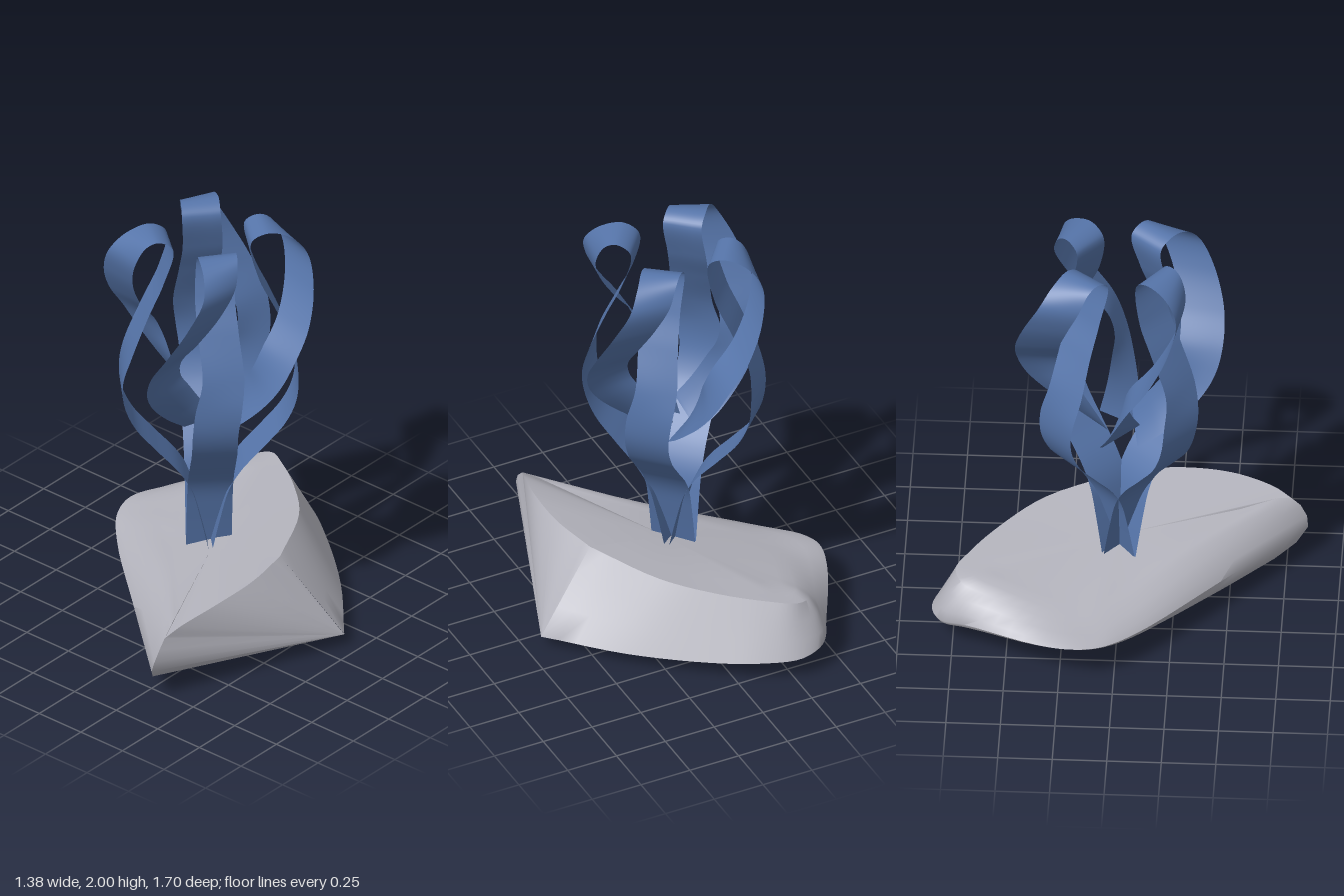
import * as THREE from 'three';
import { toCreasedNormals } from 'three/addons/utils/BufferGeometryUtils.js';

const V = (x, y, z) => new THREE.Vector3(x, y, z);

// Rising half of a ribbon: height, distance from the axis
const STEM = [
  [0.29, 0.0], [0.5, 0.045], [0.65, 0.085], [0.75, 0.14], [0.88, 0.25],
  [1.0, 0.345], [1.12, 0.395],
];
// Curling half: the two edges, x y z each
const CURL = [
  [-0.352, 1.25, 0.22, -0.2, 1.25, 0.37],
  [-0.312, 1.4, 0.228, -0.162, 1.4, 0.352],
  [-0.262, 1.6, 0.16, -0.122, 1.6, 0.285],
  [-0.215, 1.77, 0.1, -0.08, 1.77, 0.225],
  [-0.185, 1.955, 0.085, -0.045, 1.96, 0.2],
  [-0.235, 1.998, 0.14, -0.09, 1.998, 0.245],
  [-0.3, 1.965, 0.225, -0.13, 1.975, 0.285],
  [-0.36, 1.88, 0.275, -0.175, 1.88, 0.31],
  [-0.427, 1.74, 0.24, -0.23, 1.74, 0.268],
  [-0.472, 1.57, 0.15, -0.272, 1.57, 0.168],
  [-0.467, 1.42, 0.05, -0.267, 1.43, 0.062],
  [-0.43, 1.3, -0.005, -0.24, 1.34, 0.035],
  [-0.35, 1.18, -0.045, -0.19, 1.26, 0.045],
  [-0.2, 1.03, -0.08, -0.12, 1.15, 0.065],
  [-0.085, 0.94, -0.075, -0.05, 1.05, 0.095],
];

// Strip surface between two matching edge curves
function ribbonGeometry() {
  const h = 0.074, left = [], right = [];
  for (const [y, r] of STEM) {
    const d = r * Math.SQRT1_2;
    left.push(V(-d - h, y, d - h));
    right.push(V(-d + h, y, d + h));
  }
  for (const c of CURL) {
    left.push(V(c[0], c[1], c[2]));
    right.push(V(c[3], c[4], c[5]));
  }
  const a = new THREE.CatmullRomCurve3(left), b = new THREE.CatmullRomCurve3(right);
  const N = 180, M = 4, pos = [], idx = [];
  for (let i = 0; i <= N; i++) {
    const p = a.getPoint(i / N), q = b.getPoint(i / N);
    for (let j = 0; j <= M; j++) pos.push(...p.clone().lerp(q, j / M).toArray());
  }
  for (let i = 0; i < N; i++) for (let j = 0; j < M; j++) {
    const k = i * (M + 1) + j, n = k + M + 1;
    idx.push(k, k + 1, n, k + 1, n + 1, n);
  }
  const g = new THREE.BufferGeometry();
  g.setAttribute('position', new THREE.Float32BufferAttribute(pos, 3));
  g.setIndex(idx);
  g.computeVertexNormals();
  return g;
}

// Base stations from the right tip round the back to the front tip:
// bottom, widest and top points, x y z each
const BASE = [
  [0.685, 0.058, -0.1, 0.685, 0.06, -0.1, 0.385, 0.406, 0.0],
  [0.39, 0.065, -0.4, 0.4, 0.07, -0.41, 0.2, 0.39, -0.35],
  [0.09, 0.075, -0.65, 0.1, 0.085, -0.66, 0.0, 0.37, -0.55],
  [-0.11, 0.085, -0.77, -0.1, 0.1, -0.79, -0.18, 0.355, -0.68],
  [-0.28, 0.095, -0.83, -0.28, 0.11, -0.85, -0.3, 0.343, -0.74],
  [-0.4, 0.105, -0.78, -0.41, 0.13, -0.805, -0.38, 0.317, -0.7],
  [-0.44, 0.115, -0.68, -0.48, 0.16, -0.69, -0.42, 0.295, -0.6],
  [-0.6, 0.165, -0.34, -0.65, 0.19, -0.36, -0.52, 0.242, -0.31],
  [-0.63, 0.175, -0.2, -0.69, 0.198, -0.2, -0.54, 0.227, -0.2],
  [-0.6, 0.155, -0.09, -0.655, 0.185, -0.07, -0.52, 0.222, -0.1],
  [-0.45, 0.1, 0.06, -0.52, 0.165, 0.09, -0.38, 0.238, 0.04],
  [-0.06, 0.025, 0.38, -0.1, 0.16, 0.465, -0.03, 0.288, 0.36],
  [0.2, 0.0, 0.6, 0.33, 0.16, 0.845, 0.345, 0.31, 0.77],
];

function baseGeometry() {
  const pos = [], J = 12, S = 5;
  const tri = (...pts) => pts.forEach((p) => pos.push(p.x, p.y, p.z));
  const top = V(0, 0.34, 0), bottom = V(0.03, 0.02, 0);

  // Section at each station: straight on the steep back, rounded elsewhere
  const sections = BASE.map((s) => {
    const p = V(s[0], s[1], s[2]), q = V(s[3], s[4], s[5]), r = V(s[6], s[7], s[8]);
    const pts = [p.clone().lerp(bottom, 0.3), p, q, r, r.clone().lerp(top, 0.3)];
    if (s[4] > 0.125) return new THREE.CatmullRomCurve3(pts).getPoints(J);
    const path = new THREE.CurvePath();
    for (let i = 0; i < 4; i++) path.add(new THREE.LineCurve3(pts[i], pts[i + 1]));
    return Array.from({ length: J + 1 }, (_, j) => {
      const k = Math.min(3, Math.floor(j / 3));
      return path.curves[k].getPoint(j / 3 - k);
    });
  });

  // Smooth skin through the sections
  const columns = Array.from({ length: J + 1 }, (_, j) =>
    new THREE.CatmullRomCurve3(sections.map((c) => c[j])).getPoints((BASE.length - 1) * S));
  const n = columns[0].length;
  for (let i = 0; i < n - 1; i++) for (let j = 0; j < J; j++) {
    const a = columns[j][i], b = columns[j][i + 1];
    const c = columns[j + 1][i + 1], d = columns[j + 1][i];
    tri(a, b, c);
    tri(a, c, d);
  }

  // Right face: a fan from the right tip to the crest and the front section
  const front = sections[BASE.length - 1], back = sections[0];
  const tip = back[3];
  const crest = new THREE.CatmullRomCurve3([front[9], V(0.375, 0.35, 0.69),
    V(0.42, 0.39, 0.5), V(0.43, 0.405, 0.25), back[9]]).getPoints(24);
  const rim = [...front.slice(3, 9), ...crest];
  for (let i = 0; i < rim.length - 1; i++) tri(tip, rim[i + 1], rim[i]);

  // Closing top and underside
  const upper = [...columns[J], front[11], front[10], ...crest, back[J]];
  for (let i = 0; i < upper.length - 1; i++) tri(upper[i], upper[i + 1], top);
  const lower = [...columns[0], front[1], front[2], front[3], tip, back[0]];
  for (let i = 0; i < lower.length - 1; i++) tri(lower[i + 1], lower[i], bottom);

  const g = new THREE.BufferGeometry();
  g.setAttribute('position', new THREE.Float32BufferAttribute(pos, 3));
  return toCreasedNormals(g, 0.72);
}

export function createModel() {
  const model = new THREE.Group();
  const base = new THREE.Mesh(baseGeometry(),
    new THREE.MeshStandardMaterial({ color: 0xb4b4bd }));
  base.name = 'base';
  model.add(base);

  // Four identical ribbons turned about a common axis
  const blue = new THREE.MeshStandardMaterial({ color: 0x5675aa, side: THREE.DoubleSide });
  const ribbons = new THREE.Group();
  ribbons.name = 'ribbons';
  ribbons.position.x = -0.045;
  const geometry = ribbonGeometry();
  for (let i = 0; i < 4; i++) {
    const ribbon = new THREE.Mesh(geometry, blue);
    ribbon.name = 'ribbon' + (i + 1);
    ribbon.rotation.y = i * Math.PI / 2;
    ribbons.add(ribbon);
  }
  model.add(ribbons);
  return model;
}
